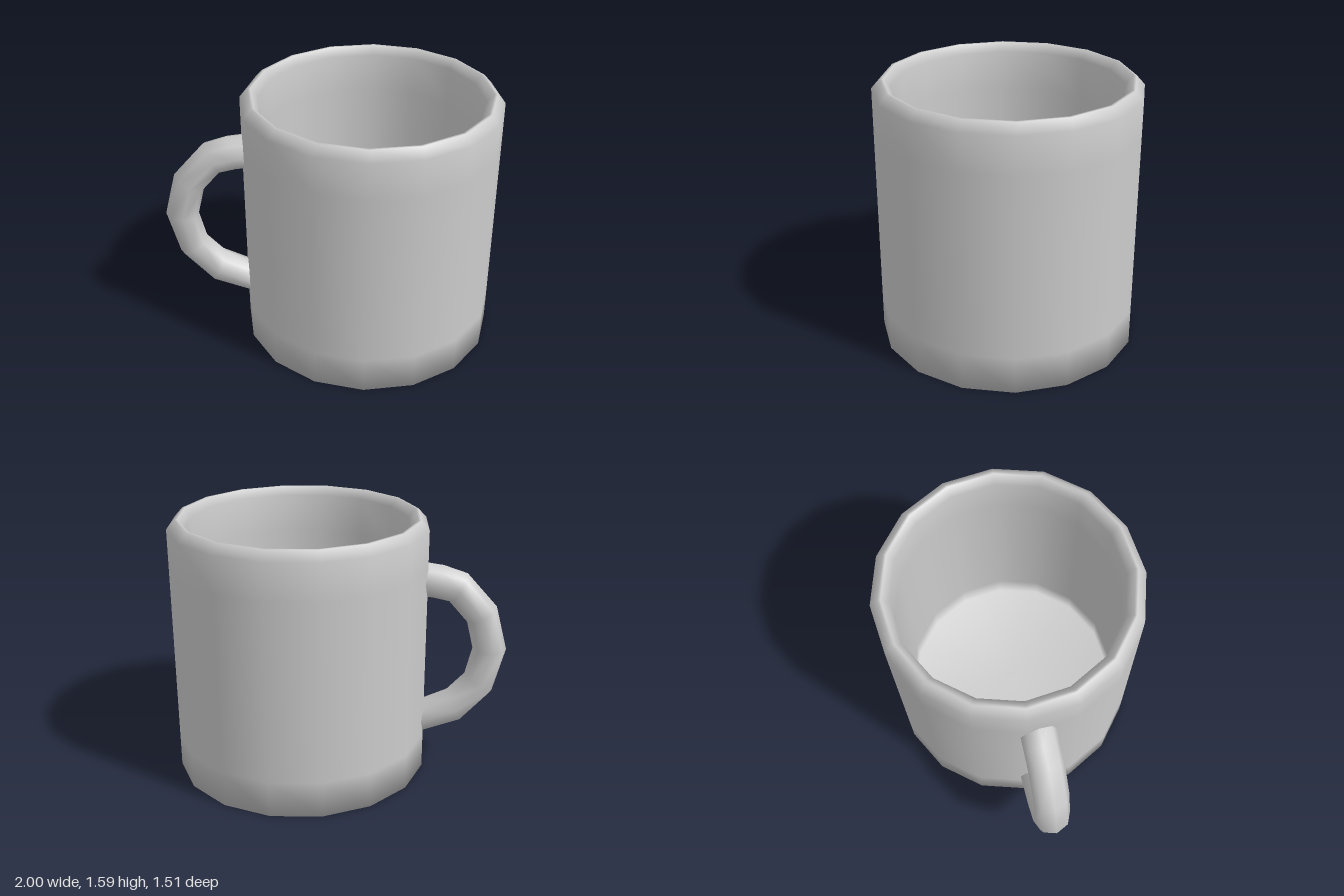
import * as THREE from 'three';

const CX = 0.243;   // axis of the cup
const SIDES = 16;

// Sixteen-sided cup: underside, outer wall, rounded rim, inner wall and floor
function makeCup(material) {
  const profile = [
    [0, 0], [0.772, 0], [0.772, 0.22], [0.772, 1.31], [0.772, 1.53],
    [0.722, 1.585], [0.705, 1.585], [0.663, 1.535], [0.663, 1.3],
    [0.663, 0.25], [0.663, 0.1], [0, 0.1],
  ].map(([r, y]) => new THREE.Vector2(r, y));
  const cup = new THREE.Mesh(new THREE.LatheGeometry(profile, SIDES, Math.PI / SIDES), material);
  cup.name = 'cup';
  cup.position.x = CX;
  return cup;
}

// Handle: octagonal sections spanning an outer and an inner point, set radially to the cup
function makeHandle(material) {
  const sections = [ // outer x, y, inner x, y
    [-0.46, 1.325, -0.46, 1.105], [-0.61, 1.305, -0.55, 1.1],
    [-0.75, 1.26, -0.65, 1.08], [-0.93, 1.06, -0.76, 0.955],
    [-1, 0.79, -0.8, 0.79], [-0.93, 0.515, -0.76, 0.62],
    [-0.75, 0.31, -0.65, 0.5], [-0.46, 0.2, -0.46, 0.405],
  ];
  const n = 8, halfWidth = 0.106, slope = 0.106;
  const positions = [], index = [];
  sections.forEach(([ox, oy, ix, iy], i) => {
    for (let j = 0; j < n; j++) {
      const a = (j / n) * Math.PI * 2;
      const t = (1 + Math.cos(a)) / 2;
      const x = ix + (ox - ix) * t;
      positions.push(x, iy + (oy - iy) * t, Math.sin(a) * halfWidth + slope * (x - CX));
      if (i < sections.length - 1) {
        const k = (j + 1) % n, p = i * n, q = p + n;
        index.push(p + j, q + j, p + k, q + j, q + k, p + k);
      }
    }
  });
  const geometry = new THREE.BufferGeometry();
  geometry.setAttribute('position', new THREE.Float32BufferAttribute(positions, 3));
  geometry.setIndex(index);
  geometry.computeVertexNormals();
  const handle = new THREE.Mesh(geometry, material);
  handle.name = 'handle';
  return handle;
}

export function createModel() {
  const material = new THREE.MeshStandardMaterial({ color: 0xcccccc });
  const mug = new THREE.Group();
  mug.name = 'mug';
  mug.add(makeCup(material), makeHandle(material));
  return mug;
}
